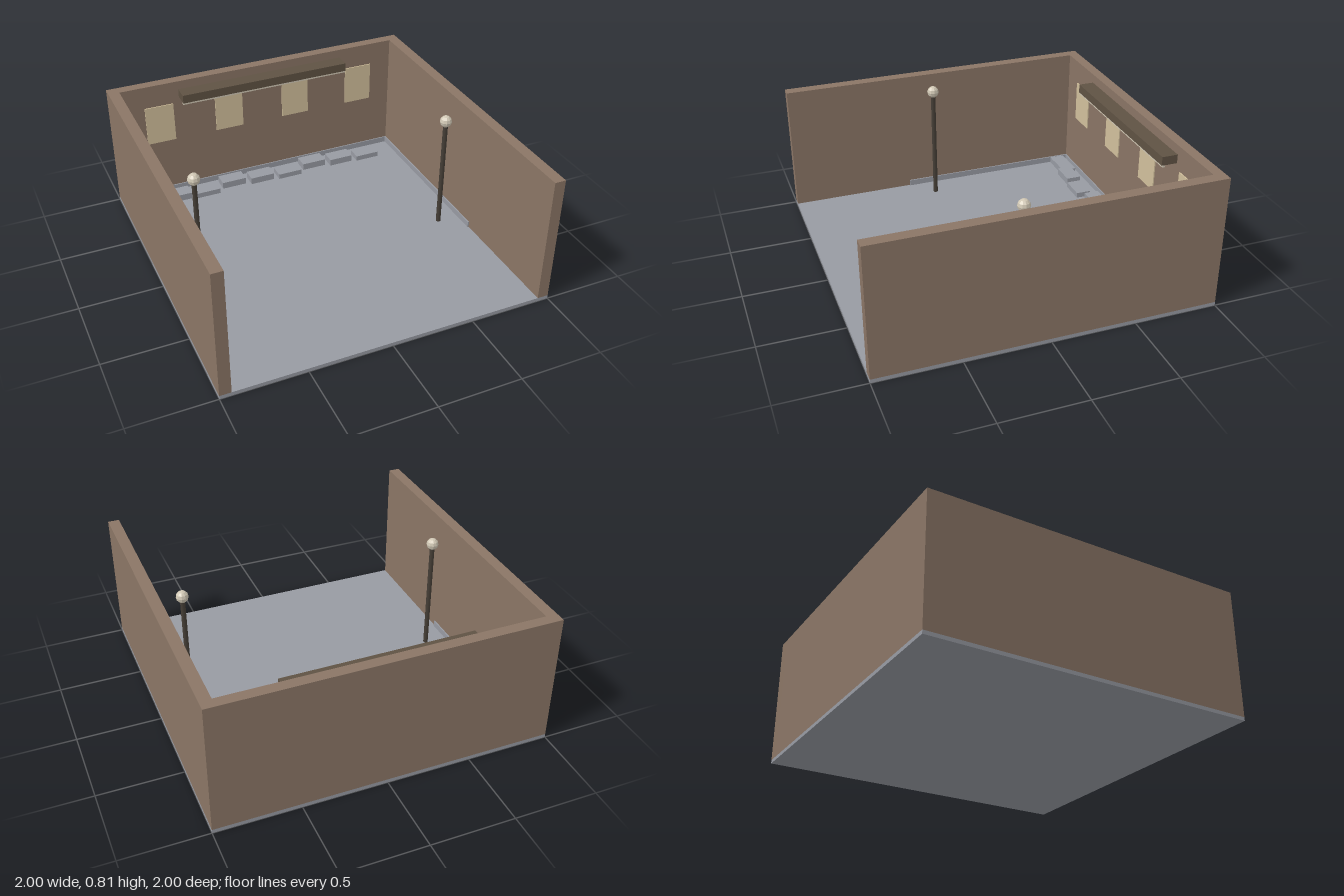
import * as THREE from 'three';

const material = (name, color, extra = {}) => {
  const m = new THREE.MeshStandardMaterial({ color, ...extra });
  m.name = name;
  return m;
};

export function createModel() {
  const group = new THREE.Group();
  const stone = material('greyStone', 0x979aa2);
  const wall = material('brownWall', 0x8a7565);
  const pane = material('warmPane', 0xd2c09c);
  const wood = material('darkWood', 0x5f5243);
  const iron = material('darkIron', 0x453e36);
  const lamp = material('paleLamp', 0xd0c7b4, { flatShading: true });

  const add = (name, geometry, mat, x, y, z) => {
    const mesh = new THREE.Mesh(geometry, mat);
    mesh.name = name;
    mesh.position.set(x, y, z);
    group.add(mesh);
    return mesh;
  };
  // Box given by its lower and upper limits on each axis
  const box = (name, mat, x0, x1, y0, y1, z0, z1) =>
    add(name, new THREE.BoxGeometry(x1 - x0, y1 - y0, z1 - z0), mat,
      (x0 + x1) / 2, (y0 + y1) / 2, (z0 + z1) / 2);

  // Floor slab and three walls
  box('floor', stone, -1, 1, 0, 0.022, -1, 1);
  box('backWall', wall, -0.932, 0.932, 0.022, 0.812, -1, -0.935);
  box('rightWall', wall, -1, -0.932, 0.022, 0.812, -1, 1);
  box('leftWall', wall, 0.932, 1, 0.022, 0.812, -1, 1);

  // Thin stone skirting along the walls
  box('backSkirting', stone, -0.925, 0.925, 0.022, 0.06, -0.935, -0.928);
  box('rightSkirting', stone, -0.932, -0.924, 0.022, 0.06, -0.935, 0.23);
  box('leftSkirting', stone, 0.924, 0.932, 0.022, 0.06, -0.935, 0.23);

  // Staggered stone blocks at the foot of the back wall
  const fronts = [-0.81, -0.785, -0.77];
  const tops = [0.066, 0.066, 0.056];
  for (let i = 0; i < 9; i++) {
    const x = -0.925 + i * 0.1938;
    const z = fronts[i % 3];
    const top = i === 0 ? 0.058 : tops[i % 3];
    box('stoneBlock', stone, x, x + 0.162, 0.022, top, z - 0.094, z);
  }
  box('cornerBlock', stone, -0.86, -0.7, 0.022, 0.063, -0.903, -0.809);

  // Window panes
  for (const x of [-0.695, -0.232, 0.232, 0.695]) {
    box('windowPane', pane, x - 0.093, x + 0.093, 0.407, 0.665, -0.935, -0.928);
  }

  // Ledge above the windows with a pale strip beneath
  box('ledge', wood, -0.56, 0.56, 0.702, 0.756, -0.935, -0.838);
  box('ledgeStrip', lamp, -0.56, 0.56, 0.69, 0.702, -0.86, -0.842);

  // Lamp posts
  for (const x of [-0.79, 0.79]) {
    add('lampPost', new THREE.CylinderGeometry(0.015, 0.015, 0.7, 8), iron, x, 0.372, 0.09);
    add('lampGlobe', new THREE.SphereGeometry(0.037, 10, 6), lamp, x, 0.748, 0.09);
  }
  return group;
}
